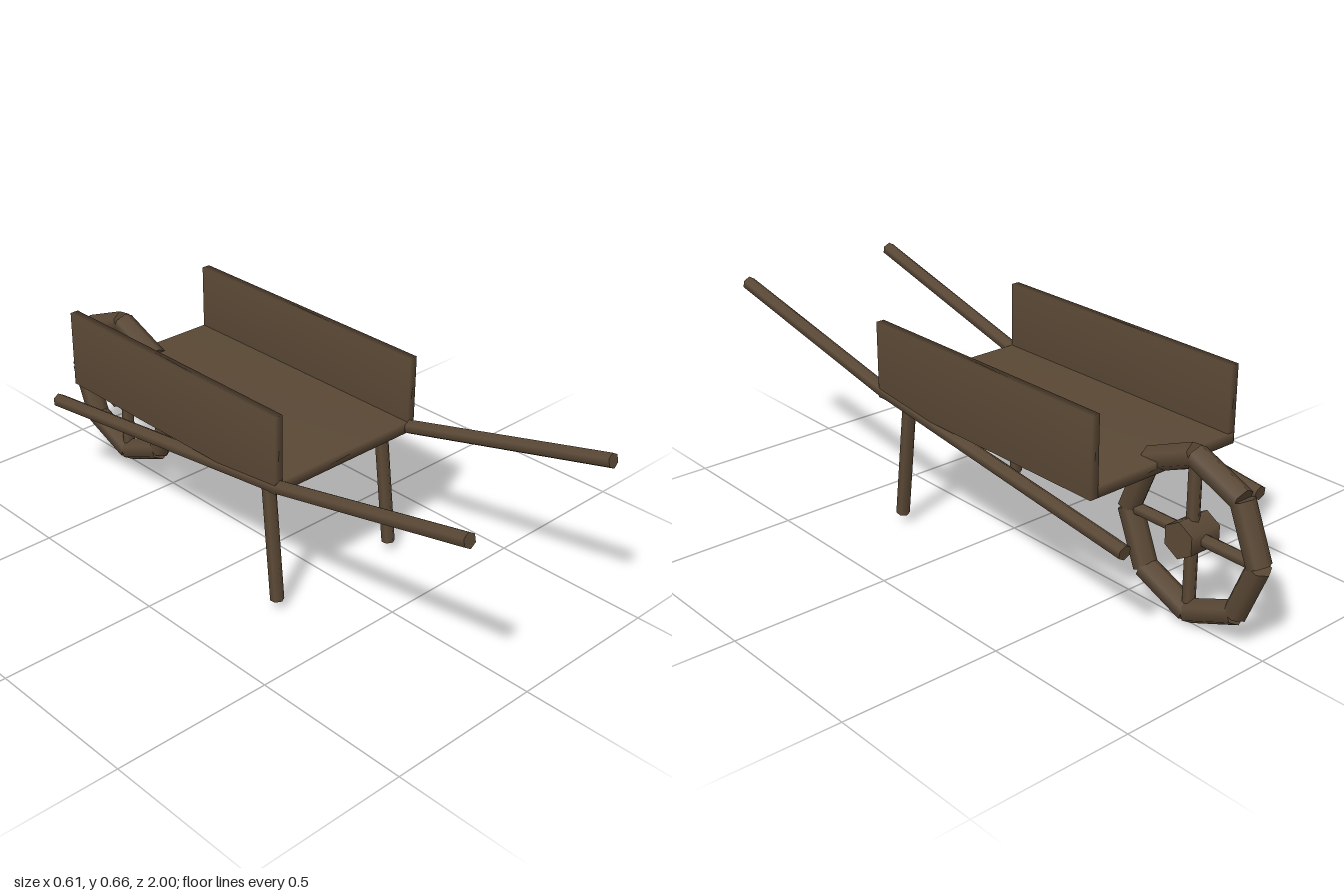
import * as THREE from 'three';
import { mergeVertices } from 'three/addons/utils/BufferGeometryUtils.js';

const wood = new THREE.MeshStandardMaterial({ color: 0x5a4835 });
wood.name = 'dark wood';

// Plank with normals shared across its corners, for soft shading
function plank(name, w, h, d, x, y, z) {
  let geo = new THREE.BoxGeometry(w, h, d);
  geo.deleteAttribute('normal');
  geo.deleteAttribute('uv');
  geo = mergeVertices(geo);
  geo.computeVertexNormals();
  const mesh = new THREE.Mesh(geo, wood);
  mesh.name = name;
  mesh.position.set(x, y, z);
  return mesh;
}

// Six-sided pole between two points, with one ridge turned towards `ridge`
function pole(name, a, b, radius, ridge) {
  const from = new THREE.Vector3(...a);
  const to = new THREE.Vector3(...b);
  const axis = to.clone().sub(from);
  const length = axis.length();
  axis.normalize();
  const side = new THREE.Vector3().crossVectors(axis, new THREE.Vector3(...ridge)).normalize();
  const up = new THREE.Vector3().crossVectors(side, axis);
  const mesh = new THREE.Mesh(new THREE.CylinderGeometry(radius, radius, length, 6), wood);
  mesh.name = name;
  mesh.quaternion.setFromRotationMatrix(new THREE.Matrix4().makeBasis(side, axis, up));
  mesh.position.copy(from).add(to).multiplyScalar(0.5);
  return mesh;
}

export function createModel() {
  const barrow = new THREE.Group();
  barrow.name = 'wheelbarrow';

  // Tray: floor and two side boards
  barrow.add(plank('trayFloor', 0.55, 0.035, 0.92, 0, 0.4375, -0.16));

  for (const s of [1, -1]) {
    const side = s > 0 ? 'left' : 'right';
    barrow.add(plank(side + 'SideBoard', 0.027, 0.24, 0.92, s * 0.2635, 0.54, -0.16));

    // Frame rail, bent up into a handle, and a leg
    const bend = [s * 0.259, 0.437, 0.3];
    barrow.add(pole(side + 'Rail', bend, [s * 0.264, 0.311, -0.738], 0.0225, [0, 1, 0]));
    barrow.add(pole(side + 'Handle', bend, [s * 0.2835, 0.605, 0.995], 0.0225, [0, 1, 0]));
    barrow.add(pole(side + 'Leg', [s * 0.226, 0.43, 0.215], [s * 0.232, 0.032, 0.26], 0.021, [0, 0, 1]));
  }

  // Wheel: eight straight rim pieces, crossed spokes and a hub
  const wheel = new THREE.Group();
  wheel.name = 'wheel';
  wheel.position.set(0, 0.27, -0.73);
  const R = 0.236;
  const rimPoint = (i) => {
    const t = (i * Math.PI) / 4;
    return [0, R * Math.sin(t), R * Math.cos(t)];
  };
  for (let i = 0; i < 8; i++) {
    const t = ((i + 0.5) * Math.PI) / 4;
    wheel.add(pole('rimPiece', rimPoint(i), rimPoint(i + 1), 0.0365, [0, Math.sin(t), Math.cos(t)]));
  }
  wheel.add(pole('uprightSpokes', [0, -R, 0], [0, R, 0], 0.02, [0, 0, 1]));
  wheel.add(pole('levelSpokes', [0, 0, -R], [0, 0, R], 0.02, [0, 1, 0]));
  wheel.add(pole('hub', [-0.055, 0, 0], [0.055, 0, 0], 0.056, [0, 1, 0]));
  barrow.add(wheel);

  return barrow;
}
